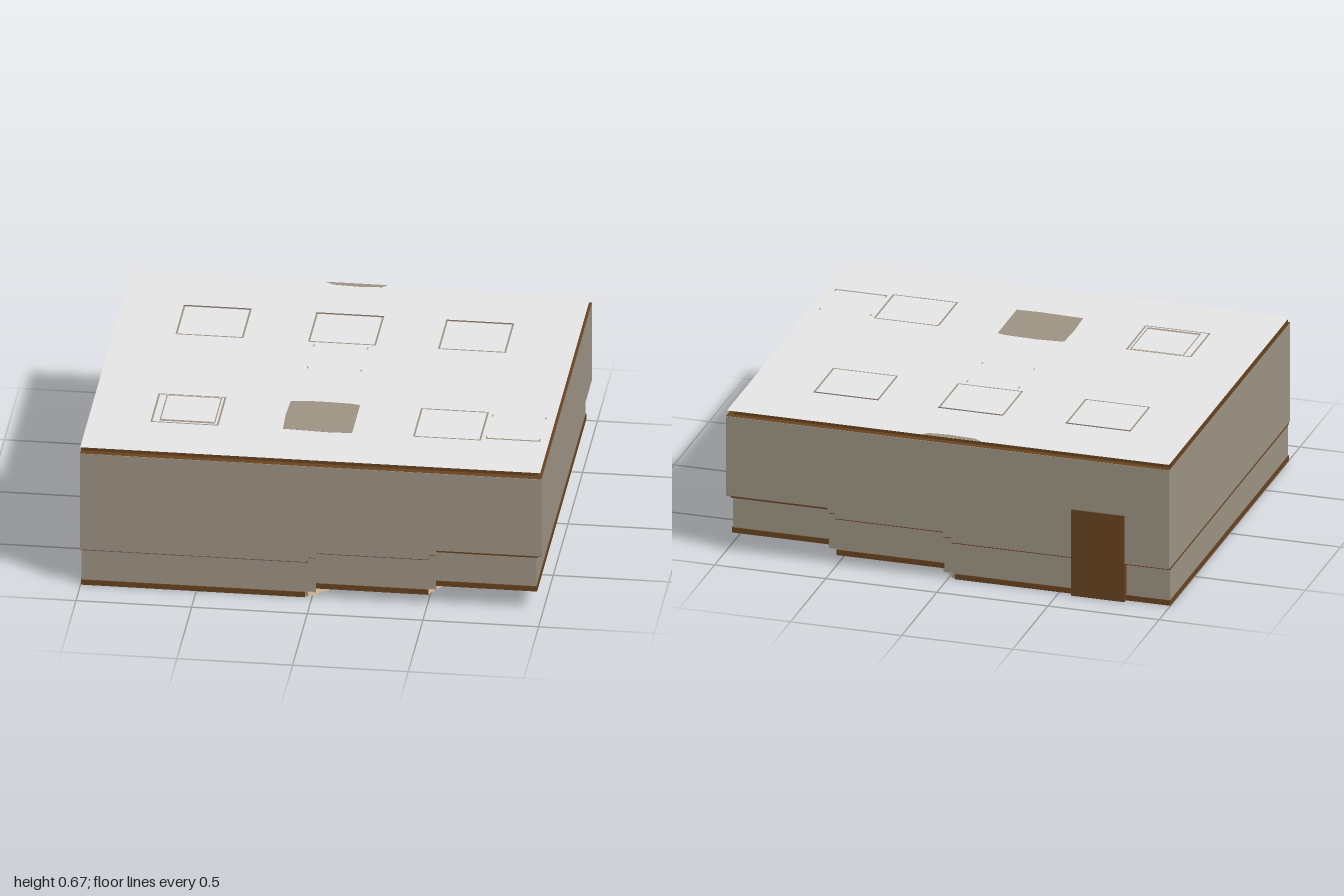
import * as THREE from 'three';

const mat = (name, color) => {
  const m = new THREE.MeshStandardMaterial({ color });
  m.name = name;
  return m;
};

export function createModel() {
  const root = new THREE.Group();
  root.name = 'steppedRoom';
  const wall = mat('taupe wall', 0x9d9384);
  const shade = mat('dark taupe rail', 0x6f645e);
  const wood = mat('dark wood', 0x684320);
  const floorWood = mat('light floor wood', 0xb47c4e);
  const cream = mat('cream riser', 0xdfc5a5);
  const roofGrey = mat('pale grey roof', 0xe5e5e5);
  roofGrey.side = THREE.DoubleSide;

  const add = (name, geometry, material, parent = root) => {
    const mesh = new THREE.Mesh(geometry, material);
    mesh.name = name;
    parent.add(mesh);
    return mesh;
  };
  // Box given by its limits on each axis
  const box = (name, x0, x1, y0, y1, z0, z1, material, parent) => {
    const g = new THREE.BoxGeometry(x1 - x0, y1 - y0, z1 - z0);
    g.translate((x0 + x1) / 2, (y0 + y1) / 2, (z0 + z1) / 2);
    return add(name, g, material, parent);
  };
  // Flat sheet facing up
  const sheet = (name, x0, x1, y, z0, z1, material, parent) => {
    const g = new THREE.PlaneGeometry(x1 - x0, z1 - z0);
    g.rotateX(-Math.PI / 2);
    g.translate((x0 + x1) / 2, y, (z0 + z1) / 2);
    return add(name, g, material, parent);
  };
  const shapeOf = (pts) => new THREE.Shape(pts.map(([x, y]) => new THREE.Vector2(x, y)));
  // Side profile extruded across z
  const profile = (name, pts, z0, z1, material) => {
    const g = new THREE.ExtrudeGeometry(shapeOf(pts), { depth: z1 - z0, bevelEnabled: false });
    g.translate(0, 0, z0);
    return add(name, g, material);
  };
  // Plan outline extruded from y0 up to y1
  const plan = (name, pts, y0, y1, material, parent) => {
    const g = new THREE.ExtrudeGeometry(shapeOf(pts), { depth: y1 - y0, bevelEnabled: false });
    g.rotateX(Math.PI / 2);
    g.translate(0, y1, 0);
    return add(name, g, material, parent);
  };
  // Stair-shaped line rising towards +x in half steps
  const edges = [-0.018, 0.018, 0.503, 0.537];
  const stair = (x0, x1, base) => {
    const xs = [x0, ...edges, x1];
    const pts = [];
    for (let i = 0; i < 5; i++) {
      const y = base + i * 0.0225;
      pts.push([xs[i], y], [xs[i + 1], y]);
    }
    return pts;
  };

  // Walls: recessed lower part and projecting upper part
  profile('lowerWall', [...stair(-0.997, 0.97, 0.004), [0.97, 0.28], [0.5, 0.28], [-0.997, 0.2]],
    -0.835, 0.84, wall);
  profile('upperWall', [...stair(-1, 0.995, 0.177), [0.995, 0.635], [-1, 0.635]],
    -0.857, 0.861, wall);

  // Rail and soffit under the overhang, one length per level
  const rail = new THREE.Group();
  rail.name = 'wallRail';
  root.add(rail);
  const railEnds = [-0.999, ...edges, 0.978];
  for (let i = 0; i < 5; i++) {
    const y = 0.177 + i * 0.0225;
    const x0 = railEnds[i], x1 = railEnds[i + 1];
    const last = i === 4;
    box('railLength', x0, x1, y - (last ? 0.014 : 0.01), y + 0.004, -0.842, 0.842, wood, rail);
    box('frontRail', x0, x1, y - (last ? 0.014 : 0.01), y + 0.004, 0.842, 0.847,
      last ? wood : shade, rail);
    box('soffit', x0, last ? 0.994 : x1, y - 0.0015, y + 0.001, -0.856, 0.86, wood, rail);
  }

  // Stepped floor: each layer reaches further, with angled ends on the risers
  const zf = 0.837, zb = -0.832;
  const layers = [
    [-0.018, 0.088, 'lowFloor'],
    [0.018, 0.12, 'lowTread'],
    [0.503, 0.56, 'middleFloor'],
    [0.537, 0.59, 'highTread'],
  ];
  layers.forEach(([end, mid, name], i) => {
    plan(name, [[-0.99, zb], [end, zb], [mid, -0.68], [mid, 0.74], [end, zf], [-0.99, zf]],
      i * 0.0225, (i + 1) * 0.0225, [floorWood, cream]);
  });
  box('highFloor', -0.99, 0.969, 0.09, 0.11, zb, zf, floorWood);

  // Skirting on each level
  const skirting = new THREE.Group();
  skirting.name = 'skirting';
  root.add(skirting);
  [[-0.999, -0.03, 0], [0.018, 0.503, 0.045], [0.537, 0.973, 0.09]].forEach(([x0, x1, y]) => {
    box('frontSkirting', x0, x1, y, y + 0.024, 0.837, 0.844, wood, skirting);
    box('backSkirting', x0, x1, y, y + 0.024, -0.839, -0.832, wood, skirting);
  });
  box('leftSkirting', 0.969, 0.974, 0.09, 0.115, -0.835, 0.84, wood, skirting);
  box('rightSkirting', -0.9995, -0.99, 0, 0.024, -0.835, 0.84, wood, skirting);

  // Back door
  box('backDoor', -0.8, -0.56, 0, 0.4, -0.861, -0.83, wood);

  // Crown moulding, ledge along the wall tops, and roof sheet
  box('crownMoulding', -0.999, 0.97, 0.63, 0.663, -0.828, 0.832, wood);
  sheet('wallTopLedge', -1, 0.995, 0.6365, -0.857, 0.861, wood);
  sheet('roof', -1, 0.989, 0.664, -0.859, 0.857, roofGrey);

  // Ceiling panels traced on the roof
  const panels = new THREE.Group();
  panels.name = 'roofPanels';
  root.add(panels);
  const top = 0.6648;
  const line = (x0, x1, z0, z1, material = wall, y = top) =>
    sheet('panelLine', x0, x1, y, z0, z1, material, panels);
  const outline = (x0, x1, z0, z1, t) => {
    line(x0, x1, z0, z0 + t);
    line(x0, x1, z1 - t, z1);
    line(x0, x0 + t, z0 + t, z1 - t);
    line(x1 - t, x1, z0 + t, z1 - t);
  };
  for (const x of [-0.585, -0.012, 0.55]) {
    outline(x - 0.147, x + 0.147, -0.555, -0.275, 0.008);
    line(x - 0.147, x + 0.147, -0.56, -0.55, shade, top + 0.0004);
    if (x !== -0.012) outline(x - 0.147, x + 0.147, 0.3, 0.577, 0.008);
  }
  plan('filledPanel', [[-0.16, 0.3], [-0.04, 0.29], [0.1, 0.295], [0.14, 0.305], [0.14, 0.575],
    [0.03, 0.58], [-0.16, 0.57], [-0.165, 0.43]], 0.6642, top, wall, panels);
  outline(-0.695, -0.455, 0.31, 0.56, 0.005);
  line(-0.695, -0.455, 0.544, 0.558);
  line(0.715, 0.95, 0.548, 0.558);
  // Short corner ticks of the faint panels
  for (const [x0, x1, z0, z1] of [[-0.132, 0.106, -0.25, -0.02], [0.715, 0.95, 0.32, 0.548]]) {
    for (const x of [x0, x1 - 0.006]) {
      line(x, x + 0.006, z0, z0 + 0.02);
      line(x, x + 0.006, z1 - 0.015, z1);
    }
  }
  plan('backEdgePatch', [[-0.155, -0.858], [0.11, -0.858], [0.09, -0.836], [0, -0.828], [-0.12, -0.836]],
    0.6642, top, wall, panels);

  return root;
}
